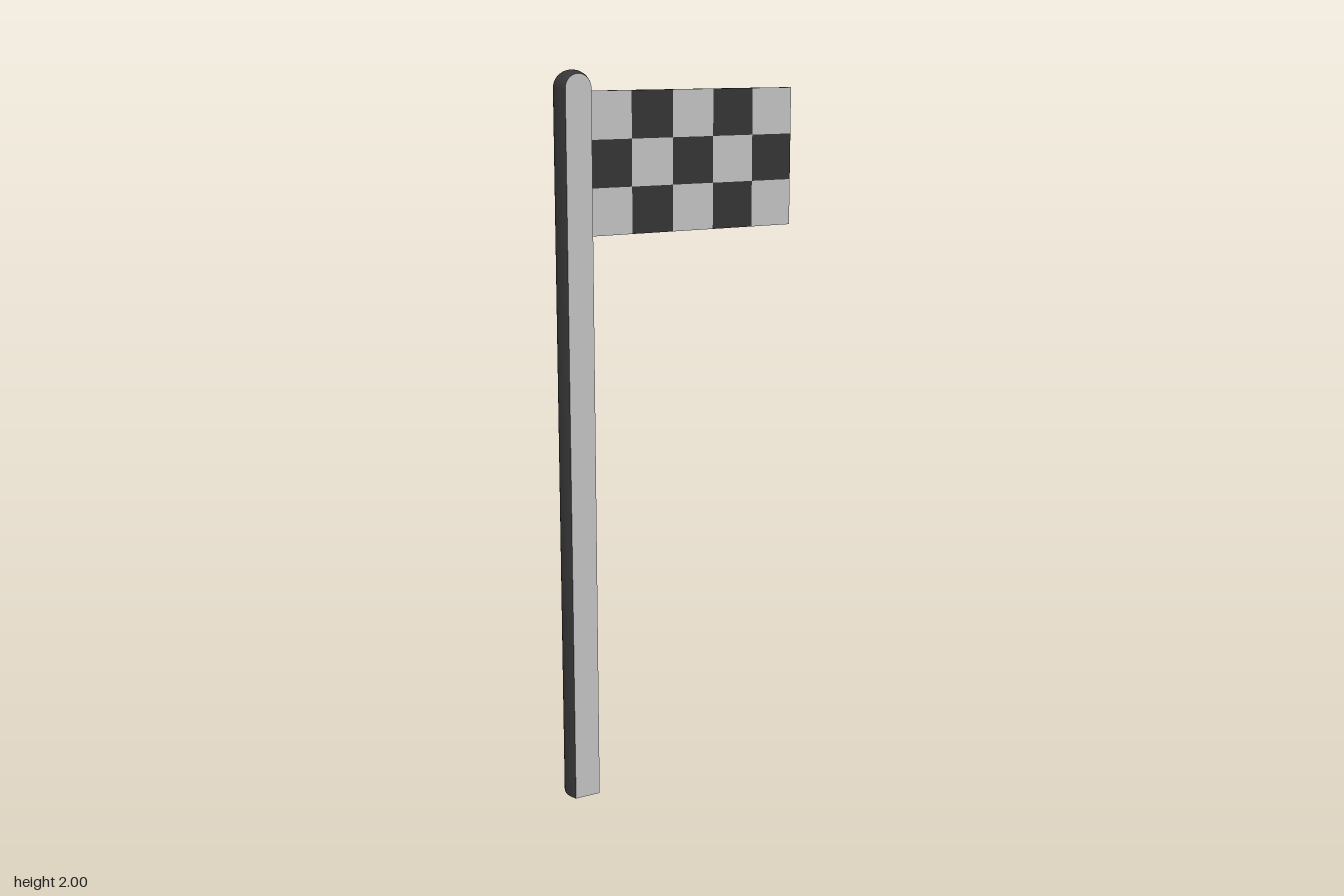
import * as THREE from 'three';

const light = new THREE.MeshStandardMaterial({ color: 0xc8c8c8, side: THREE.DoubleSide });
light.name = 'light grey';
const dark = new THREE.MeshStandardMaterial({ color: 0x363636, side: THREE.DoubleSide });
dark.name = 'charcoal';

const POLE_X = -0.309, HALF_W = 0.037, HALF_D = 0.037, BULGE = 0.009;
const ARCH_Y = 2 - HALF_W - BULGE;

// Round-topped outline of the pole, from bottom right over the top to bottom left
function outline(r, steps = 20) {
  const pts = [new THREE.Vector2(r, 0)];
  for (let i = 0; i <= steps; i++) {
    const a = (Math.PI * i) / steps;
    pts.push(new THREE.Vector2(r * Math.cos(a), ARCH_Y + r * Math.sin(a)));
  }
  pts.push(new THREE.Vector2(-r, 0));
  return pts;
}

// Bulging rim: outlines lofted from the back to the front, open at the bottom
function rimGeometry(sections = 10) {
  const pos = [], index = [];
  let n = 0;
  for (let j = 0; j <= sections; j++) {
    const t = (2 * j) / sections - 1;
    const ring = outline(HALF_W + BULGE * (1 - t * t));
    n = ring.length;
    ring.forEach((p) => pos.push(p.x, p.y, t * HALF_D));
  }
  for (let j = 0; j < sections; j++) {
    for (let i = 0; i < n - 1; i++) {
      const a = j * n + i, b = a + n;
      index.push(a, a + 1, b, a + 1, b + 1, b);
    }
  }
  const g = new THREE.BufferGeometry();
  g.setAttribute('position', new THREE.Float32BufferAttribute(pos, 3));
  // Wind outward: the rim's right side must face +x
  for (let k = 0; k < index.length; k += 3) {
    [index[k + 1], index[k + 2]] = [index[k + 2], index[k + 1]];
  }
  g.setIndex(index);
  g.computeVertexNormals();
  const normal = g.getAttribute('normal');
  if (normal.getX(Math.floor(sections / 2) * n) < 0) {
    for (let k = 0; k < index.length; k += 3) {
      [index[k + 1], index[k + 2]] = [index[k + 2], index[k + 1]];
    }
    g.setIndex(index);
    g.computeVertexNormals();
  }
  return g;
}

// Chequered board: dark edges, then alternating cells on the front and back
function flagGeometry(cols, rows, w, h, d) {
  const g = new THREE.BoxGeometry(w, h, d, cols, rows, 1);
  const edgeCount = (2 * cols + 2 * rows) * 6;
  g.clearGroups();
  g.addGroup(0, edgeCount, 1);
  for (let side = 0; side < 2; side++) {
    for (let i = 0; i < cols * rows; i++) {
      g.addGroup(edgeCount + (side * cols * rows + i) * 6, 6, i % 2);
    }
  }
  return g;
}

export function createModel() {
  const model = new THREE.Group();
  model.name = 'chequeredFlag';
  const add = (parent, name, geometry, material) => {
    const mesh = new THREE.Mesh(geometry, material);
    mesh.name = name;
    parent.add(mesh);
    return mesh;
  };

  // Pole
  const pole = new THREE.Group();
  pole.name = 'pole';
  pole.position.x = POLE_X;
  model.add(pole);
  add(pole, 'poleRim', rimGeometry(), dark);
  const face = new THREE.ShapeGeometry(new THREE.Shape(outline(HALF_W)));
  add(pole, 'poleFrontFace', face, light).position.z = HALF_D;
  const back = add(pole, 'poleBackFace', face, light);
  back.rotation.y = Math.PI;
  back.position.z = -HALF_D;

  // Flag
  const x0 = -0.264, x1 = 0.355, y0 = 1.57, y1 = 1.946;
  const flag = add(model, 'flag', flagGeometry(5, 3, x1 - x0, y1 - y0, 0.013), [light, dark]);
  flag.position.set((x0 + x1) / 2, (y0 + y1) / 2, 0);
  return model;
}
